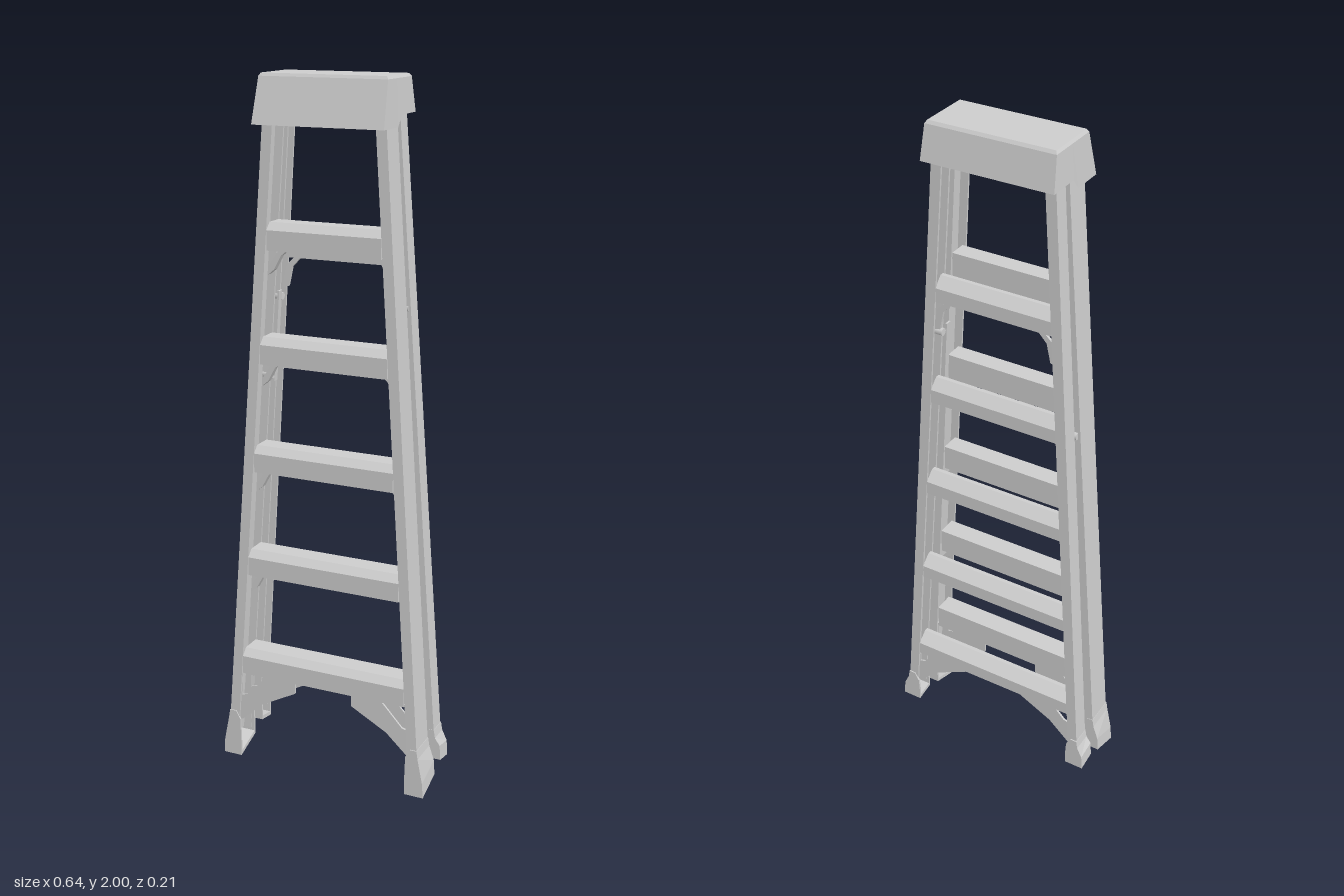
import * as THREE from 'three';

const metal = new THREE.MeshStandardMaterial({ color: 0xcccccc });
metal.name = 'light grey metal';

const lerp = (a, b, t) => a + (b - a) * t;
// Rail lines: outer x and the z limits of the front and rear rails at height y
const railX = (y) => 0.309 - 0.07 * y;
const frontZ = (y) => [lerp(0, -0.01, y / 1.87), lerp(0.088, 0.064, y / 1.87)];
const rearZ = (y) => [lerp(-0.105, -0.075, y / 1.9), lerp(-0.05, -0.03, y / 1.9)];

function mesh(group, name, geometry) {
  const m = new THREE.Mesh(geometry, metal);
  m.name = name;
  group.add(m);
  return m;
}

// Skins rings of [x, y, z] points (clockwise seen from above), flat shaded
function loft(rings, { flip = false, capBottom = true, capTop = true } = {}) {
  const out = [];
  const tri = (a, b, c) => out.push(...a, ...(flip ? c : b), ...(flip ? b : c));
  const n = rings[0].length;
  for (let r = 0; r < rings.length - 1; r++) {
    const a = rings[r], b = rings[r + 1];
    for (let i = 0; i < n; i++) {
      const j = (i + 1) % n;
      tri(a[i], b[j], a[j]);
      tri(a[i], b[i], b[j]);
    }
  }
  const cap = (ring, up) => {
    const pts = ring.map((p) => new THREE.Vector2(p[0], p[2]));
    for (const [i, j, k] of THREE.ShapeUtils.triangulateShape(pts, [])) {
      const [p, q, s] = [ring[i], ring[j], ring[k]];
      const ny = (q[2] - p[2]) * (s[0] - p[0]) - (q[0] - p[0]) * (s[2] - p[2]);
      if ((ny > 0) === up) out.push(...p, ...q, ...s);
      else out.push(...p, ...s, ...q);
    }
  };
  if (capBottom) cap(rings[0], false);
  if (capTop) cap(rings[rings.length - 1], true);
  const g = new THREE.BufferGeometry();
  g.setAttribute('position', new THREE.Float32BufferAttribute(out, 3));
  g.computeVertexNormals();
  return g;
}

// Channel section open toward the middle of the ladder
function channel(side, xo, xi, z0, z1, t, yAt) {
  return [[xo, z0], [xo, z1], [xi, z1], [xi, z1 - t], [xo - t, z1 - t], [xo - t, z0 + t], [xi, z0 + t], [xi, z0]]
    .map(([x, z]) => [side * x, yAt(z), z]);
}

// Bar running along x from a [z, y] profile
function crossBar(profile, width) {
  const shape = new THREE.Shape(profile.map(([z, y]) => new THREE.Vector2(-z, y)));
  return new THREE.ExtrudeGeometry(shape, { depth: width, bevelEnabled: false })
    .rotateY(Math.PI / 2).translate(-width / 2, 0, 0);
}

// Upright plate from an [x, y] outline, mirrored by side
function plate(side, outline, z, thickness, hole) {
  const v = (pts) => pts.map(([x, y]) => new THREE.Vector2(side * x, y));
  const shape = new THREE.Shape(v(outline));
  if (hole) shape.holes.push(new THREE.Path(v(hole)));
  return new THREE.ExtrudeGeometry(shape, { depth: thickness, bevelEnabled: false }).translate(0, 0, z - thickness / 2);
}

export function createModel() {
  const ladder = new THREE.Group();
  ladder.name = 'stepLadder';

  // Hollow top cap with a stepped lower rim
  const rim = (x, zf, zb, yf, yb) => [
    [x, yb, zb], [x, yb, -0.012], [x, yf, 0.012], [x, yf, zf],
    [-x, yf, zf], [-x, yf, 0.012], [-x, yb, -0.012], [-x, yb, zb],
  ];
  mesh(ladder, 'topCap', loft([
    rim(0.188, 0.105, -0.106, 1.87, 1.9),
    rim(0.183, 0.070, -0.088, 1.992, 1.992),
    rim(0.178, 0.065, -0.082, 2.0, 2.0),
  ], { capBottom: false }));
  mesh(ladder, 'topCapInside', loft([
    rim(0.183, 0.099, -0.100, 1.87, 1.9),
    rim(0.175, 0.062, -0.080, 1.985, 1.985),
  ], { flip: true, capBottom: false, capTop: false }));
  mesh(ladder, 'topCapUnderside', new THREE.PlaneGeometry(0.35, 0.142)
    .rotateX(Math.PI / 2).translate(0, 1.985, -0.009));

  const frames = [
    { name: 'front', zAt: frontZ, low: 0.05, sole: (z) => Math.max(0, 0.03 - 0.34 * z) },
    { name: 'rear', zAt: rearZ, low: 0.08, sole: (z) => 0.053 + 0.18 * (z + 0.05) },
  ];
  for (const { name, zAt, low, sole } of frames) {
    for (const side of [1, -1]) {
      const flip = side < 0;
      // Rails
      const railRing = (y) => channel(side, railX(y), railX(y) - 0.03, ...zAt(y), 0.006, () => y);
      mesh(ladder, name + 'Rail', loft([railRing(low), railRing(1.975)], { flip }));

      // Feet: flared channel shoes with a sloping sole
      const [z0, z1] = zAt(0.05);
      const a = z0 - 0.002, b = z1 + 0.002;
      mesh(ladder, name + 'Foot', loft([
        channel(side, 0.322, 0.264, a, b, 0.006, sole),
        channel(side, 0.319, 0.264, a, b, 0.006, (z) => sole(z) + 0.045),
        channel(side, 0.304, 0.266, a, b, 0.006, () => 0.12),
        channel(side, 0.3, 0.28, a, b, 0.006, () => 0.145),
      ], { flip }));
      const soleRing = (lift) => [[0.32, a], [0.32, b], [0.264, b], [0.264, a]]
        .map(([x, z]) => [side * x, sole(z) + lift, z]);
      mesh(ladder, name + 'FootSole', loft([soleRing(0), soleRing(0.012)], { flip }));
    }
  }

  for (const top of [1.61, 1.293, 0.978, 0.662, 0.347]) {
    const [zb, zf] = frontZ(top);
    const [rb, rf] = rearZ(top);
    const half = railX(top) - 0.029;
    const t = 0.006, drop = top - 0.075;

    // Front steps: channels open below, with a sloped nose
    mesh(ladder, 'step', crossBar([
      [zf, drop], [zf, top - 0.02], [zf - 0.02, top], [zb + 0.005, top], [zb + 0.005, drop],
      [zb + 0.005 + t, drop], [zb + 0.005 + t, top - t], [zf - 0.022, top - t],
      [zf - t, top - 0.023], [zf - t, drop],
    ], 2 * half));

    // Rear rungs: thin channels with a sloped top
    const base = top - 0.11, hi = top - 0.043, mid = top - 0.07;
    mesh(ladder, 'rearRung', crossBar([
      [rf - 0.008, base], [rf - 0.008, hi], [rf - 0.02, hi], [rb, mid], [rb, base],
      [rb + t, base], [rb + t, mid - 0.003], [rf - 0.021, hi - t], [rf - 0.008 - t, hi - t], [rf - 0.008 - t, base],
    ], 2 * half + 0.01));

    for (const side of [1, -1]) {
      if (top < 0.4) {
        // Large pierced braces under the lowest step and rung
        for (const [z, y] of [[zf - 0.012, 0], [zb + 0.015, 0], [rb + 0.01, -0.003]]) {
          mesh(ladder, 'lowerBrace', plate(side, [
            [0.09, 0.235 + y], [0.2, 0.175], [0.265, 0.115], [0.295, 0.115], [0.28, 0.275], [0.09, 0.275],
          ], z, 0.006, [[0.185, 0.268], [0.262, 0.268], [0.266, 0.195], [0.248, 0.2]]));
        }
      } else {
        // Small curved straps from each step down to the rail
        const e = half + 0.02;
        mesh(ladder, 'stepBrace', plate(side, [
          [half - 0.045, drop], [half - 0.02, drop - 0.02], [half + 0.002, drop - 0.06],
          [e, drop - 0.075], [e, drop - 0.055], [half - 0.008, drop - 0.012], [half - 0.02, drop],
        ], zb + 0.02, 0.02));
        if (top > 1.5) {
          mesh(ladder, 'rungBrace', plate(side, [
            [half - 0.04, base], [half - 0.012, base - 0.03], [half, base - 0.085],
            [e, base - 0.09], [half + 0.005, base - 0.025], [half - 0.02, base],
          ], rb + 0.012, 0.008));
        }
      }
    }
  }

  // Folded spreader arms with pivots between the front and rear rails
  for (const side of [1, -1]) {
    const x = side * 0.183;
    const arm = mesh(ladder, 'spreaderArm', new THREE.BoxGeometry(0.005, 0.26, 0.018));
    arm.position.set(x, 1.28, -0.022);
    arm.rotation.z = side * 0.07;
    for (const [y, z] of [[1.17, 0], [1.39, -0.035]]) {
      const pivot = mesh(ladder, 'spreaderPivot', new THREE.CylinderGeometry(0.011, 0.011, 0.03, 10));
      pivot.rotation.z = Math.PI / 2;
      pivot.position.set(side * (railX(y) - 0.022), y, z - 0.008);
    }
  }
  return ladder;
}
